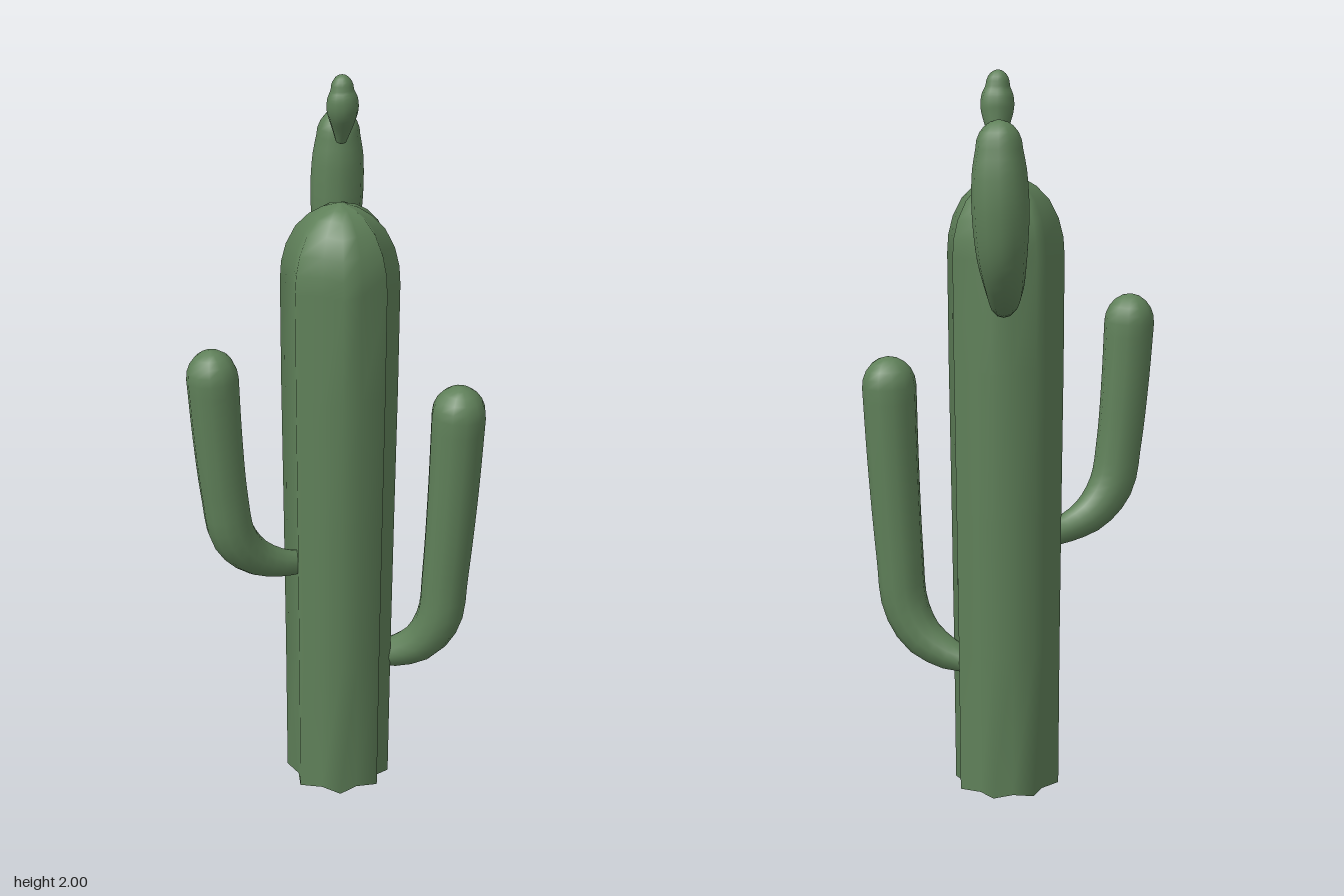
import * as THREE from 'three';

const green = new THREE.MeshStandardMaterial({ color: 0x5f8059, roughness: 0.9 });

// Closed skin over rings of points; first and last rings are closed by fans.
function skin(name, rings, flatBase = false) {
  const n = rings[0].length, pos = [], idx = [];
  const centre = ring => ring.reduce((s, p) => s.add(p), new THREE.Vector3()).divideScalar(n);
  rings.forEach(ring => ring.forEach(p => pos.push(p.x, p.y, p.z)));
  for (let i = 0; i < rings.length - 1; i++) {
    for (let j = 0; j < n; j++) {
      const a = i * n + j, b = i * n + (j + 1) % n;
      idx.push(a, a + n, b, b, a + n, b + n);
    }
  }
  // Top fan
  const last = (rings.length - 1) * n, top = pos.length / 3;
  pos.push(...centre(rings[rings.length - 1]).toArray());
  for (let j = 0; j < n; j++) idx.push(last + j, top, last + (j + 1) % n);
  // Bottom fan, with its own rim vertices when a hard edge is wanted
  let rim = 0;
  if (flatBase) {
    rim = pos.length / 3;
    rings[0].forEach(p => pos.push(p.x, p.y, p.z));
  }
  const base = pos.length / 3;
  pos.push(...centre(rings[0]).toArray());
  for (let j = 0; j < n; j++) idx.push(base, rim + j, rim + (j + 1) % n);

  const geo = new THREE.BufferGeometry();
  geo.setAttribute('position', new THREE.Float32BufferAttribute(pos, 3));
  geo.setIndex(idx);
  geo.computeVertexNormals();
  const mesh = new THREE.Mesh(geo, green);
  mesh.name = name;
  return mesh;
}

// Ribbed column: slightly irregular eight-pointed star under a dome
function trunk() {
  const cx = 0.055, cz = 0.035;
  const ridges = [-90, -45, 2, 41, 74, 121, 171, 220];
  const star = [];
  ridges.forEach((deg, i) => {
    const next = i < 7 ? ridges[i + 1] : 270;
    star.push([deg, 0.16], [(deg + next) / 2, 0.13]);
  });
  const profile = [[0, 0.92], [0.4, 0.935], [0.8, 0.96], [1.2, 0.99], [1.5, 1], [1.55, 0.98],
    [1.6, 0.9], [1.65, 0.74], [1.685, 0.52], [1.705, 0.3], [1.715, 0.06]];
  const rings = profile.map(([y, s]) => star.map(([deg, r]) => {
    const a = THREE.MathUtils.degToRad(deg);
    return new THREE.Vector3(cx + r * s * Math.cos(a), y, cz + r * s * Math.sin(a));
  }));
  return skin('trunk', rings, true);
}

// Round limb along a curve through [x, y, z, radius], with domed ends
function limb(name, points, tipStretch = 1, sides = 12, steps = 20) {
  const path = new THREE.CatmullRomCurve3(points.map(p => new THREE.Vector3(p[0], p[1], p[2])));
  const radius = new THREE.CatmullRomCurve3(
    points.map(p => new THREE.Vector3(p[3], 0, 0)), false, 'catmullrom');
  const { tangents, normals, binormals } = path.computeFrenetFrames(steps);
  const rings = [];
  const addRing = (i, r, shift) => {
    const c = path.getPointAt(i / steps).addScaledVector(tangents[i], shift);
    rings.push(Array.from({ length: sides }, (_, j) => {
      const a = -j / sides * Math.PI * 2;
      return c.clone().addScaledVector(normals[i], r * Math.cos(a))
        .addScaledVector(binormals[i], r * Math.sin(a));
    }));
  };
  const dome = [0.3, 0.6, 0.9, 1.2, 1.5];
  const r0 = points[0][3], r1 = points[points.length - 1][3];
  [...dome].reverse().forEach(a => addRing(0, r0 * Math.cos(a), -r0 * 0.6 * Math.sin(a)));
  for (let i = 0; i <= steps; i++) {
    addRing(i, radius.getPoint(path.getUtoTmapping(i / steps)).x, 0);
  }
  dome.forEach(a => addRing(steps, r1 * Math.cos(a), r1 * tipStretch * Math.sin(a)));
  return skin(name, rings);
}

export function createModel() {
  const cactus = new THREE.Group();
  cactus.name = 'cactus';
  cactus.add(
    trunk(),
    limb('rightArm', [
      [-0.06, 0.70, 0.025, 0.032], [-0.13, 0.715, 0.02, 0.04], [-0.21, 0.755, 0.008, 0.053],
      [-0.268, 0.83, 0, 0.062], [-0.29, 0.95, -0.004, 0.063], [-0.305, 1.12, -0.009, 0.066],
      [-0.315, 1.29, -0.012, 0.069]], 1.15),
    limb('leftArm', [
      [0.17, 0.365, 0.075, 0.035], [0.2, 0.378, 0.112, 0.045], [0.25, 0.425, 0.172, 0.057],
      [0.28, 0.51, 0.21, 0.064], [0.29, 0.65, 0.22, 0.066], [0.3, 0.9, 0.232, 0.071],
      [0.306, 1.13, 0.239, 0.075]], 1.1),
    limb('backArm', [
      [0.135, 1.385, -0.09, 0.033], [0.16, 1.405, -0.135, 0.04], [0.195, 1.455, -0.195, 0.052],
      [0.222, 1.54, -0.23, 0.065], [0.23, 1.65, -0.238, 0.073], [0.231, 1.75, -0.235, 0.07],
      [0.23, 1.81, -0.232, 0.06]], 1.2),
    limb('bud', [
      [0.197, 1.815, -0.17, 0.016], [0.194, 1.85, -0.162, 0.028], [0.186, 1.9, -0.148, 0.042],
      [0.183, 1.935, -0.144, 0.041], [0.182, 1.96, -0.144, 0.031]], 1.3)
  );
  return cactus;
}
